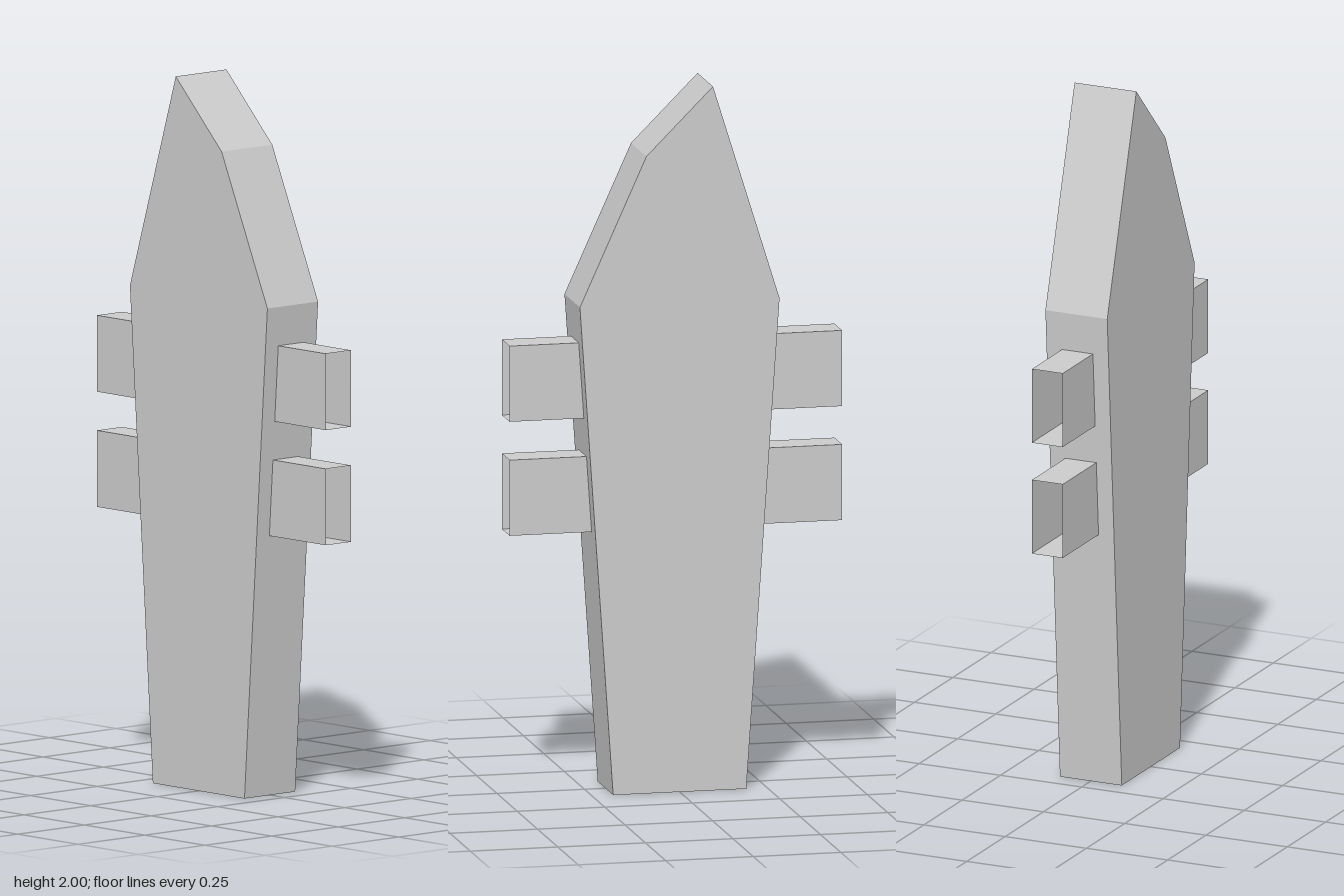
import * as THREE from 'three';

const material = new THREE.MeshStandardMaterial({ color: 0xcccccc, side: THREE.DoubleSide });

// Flat-shaded wall strip along a counter-clockwise outline, spanning z = -half..half
function wallStrip(points, half) {
  const pos = [];
  for (let i = 0; i < points.length - 1; i++) {
    const [ax, ay] = points[i], [bx, by] = points[i + 1];
    pos.push(ax, ay, half, ax, ay, -half, bx, by, -half);
    pos.push(ax, ay, half, bx, by, -half, bx, by, half);
  }
  const geo = new THREE.BufferGeometry();
  geo.setAttribute('position', new THREE.Float32BufferAttribute(pos, 3));
  geo.computeVertexNormals();
  return geo;
}

function addMesh(parent, name, geo) {
  const mesh = new THREE.Mesh(geo, material);
  mesh.name = name;
  parent.add(mesh);
  return mesh;
}

export function createModel() {
  const model = new THREE.Group();
  model.name = 'slabWithCrossTubes';

  // Tapered hollow slab with an off-centre peak, open underneath
  const half = 0.095;
  const outline = [[0.19, 0], [0.285, 1.39], [0.095, 1.81], [-0.095, 2], [-0.285, 1.39], [-0.19, 0]];
  const body = new THREE.Group();
  body.name = 'body';
  model.add(body);
  addMesh(body, 'bodyWalls', wallStrip(outline, half));
  const face = new THREE.ShapeGeometry(new THREE.Shape(outline.map(([x, y]) => new THREE.Vector2(x, y))));
  addMesh(body, 'frontFace', face).position.z = half;
  const back = addMesh(body, 'backFace', face.clone().scale(-1, 1, 1).rotateY(Math.PI));
  back.position.z = -half;
  // Mirroring reversed the corner order, so turn the triangles round again
  const index = back.geometry.index;
  for (let i = 0; i < index.count; i += 3) {
    const b = index.getX(i + 1);
    index.setX(i + 1, index.getX(i + 2));
    index.setX(i + 2, b);
  }
  back.geometry.computeVertexNormals();

  // Two rectangular tubes through the slab, open at both ends
  const w = 0.0475, h = 0.1075;
  const section = [[-w, -h], [w, -h], [w, h], [-w, h], [-w, -h]];
  for (const [name, y] of [['lowerCrossTube', 0.848], ['upperCrossTube', 1.172]]) {
    addMesh(model, name, wallStrip(section, 0.475).rotateY(Math.PI / 2)).position.y = y;
  }
  return model;
}
